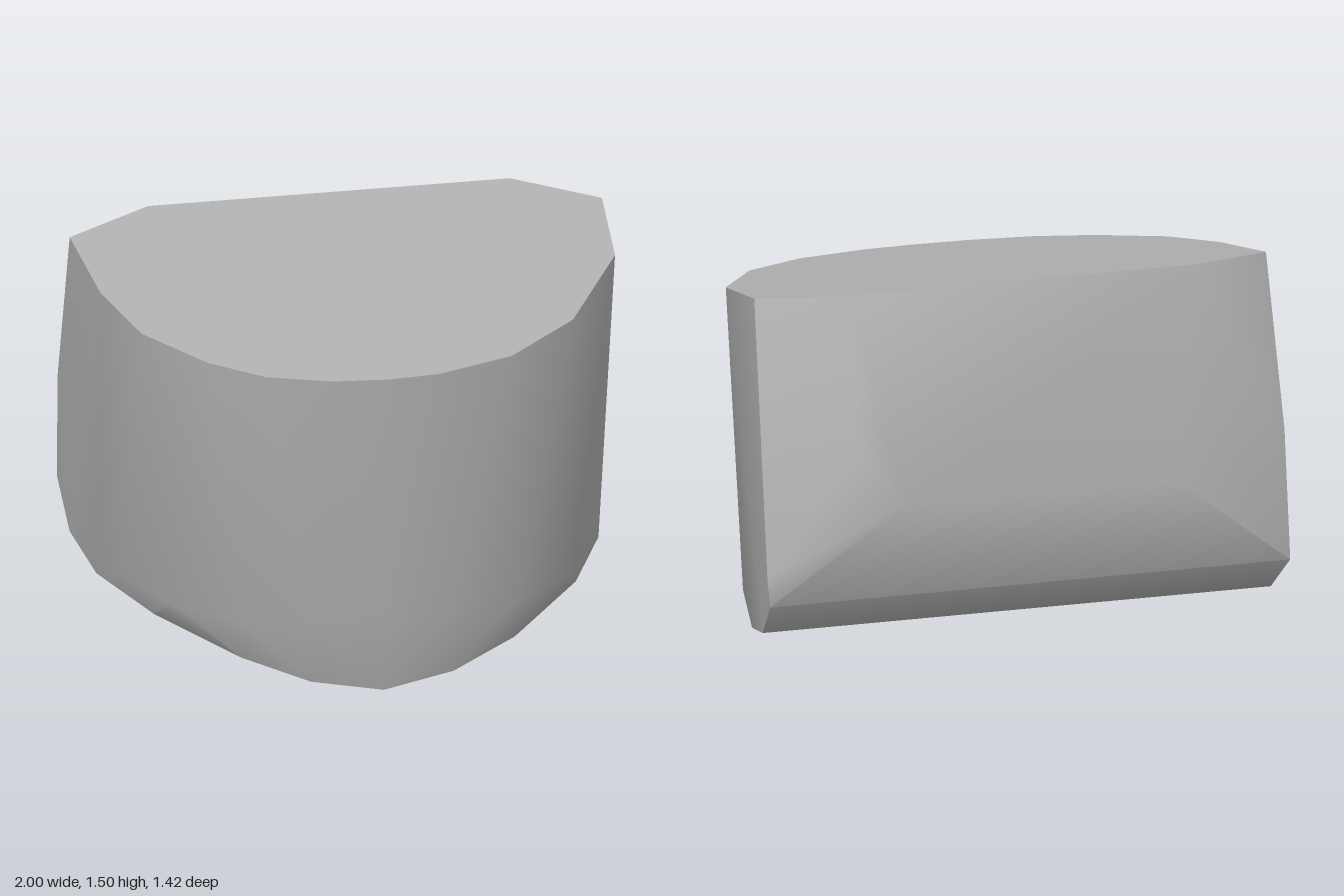
import * as THREE from 'three';
import { ConvexGeometry } from 'three/addons/geometries/ConvexGeometry.js';
import { toCreasedNormals } from 'three/addons/utils/BufferGeometryUtils.js';

export function createModel() {
  const group = new THREE.Group();
  const stone = new THREE.MeshStandardMaterial({ color: 0xb0b0b0 });
  stone.name = 'stoneGrey';
  const points = [];
  const add = (x, y, z) => points.push(new THREE.Vector3(x, y, z));
  const addPair = (x, y, z) => { add(x, y, z); add(-x, y, z); };

  // Flat top: D-shaped outline (x, z) on a plane rising towards the back
  const top = [
    [-0.985, -0.35], [-0.67, -0.51], [0.65, -0.51], [0.955, -0.34],
    [0.935, 0.03], [0.905, 0.08], [0.71, 0.42], [0.45, 0.62], [0.17, 0.7],
    [-0.02, 0.71], [-0.22, 0.695], [-0.45, 0.635], [-0.64, 0.515],
    [-0.84, 0.3], [-0.94, 0.02],
  ];
  for (const [x, z] of top) add(x, 1.31 + (0.71 - z) * 0.152, z);

  // Lower edge of the curved front wall
  add(0, 0.31, 0.6);
  addPair(0.25, 0.3, 0.575);
  addPair(0.5, 0.29, 0.49);
  addPair(0.73, 0.29, 0.29);
  addPair(0.88, 0.29, 0);

  // Sloping underside, lowest at the front
  add(0, 0, 0.53);
  addPair(0.26, 0.04, 0.5);
  addPair(0.5, 0.115, 0.41);
  addPair(0.77, 0.192, 0.15);
  addPair(0.915, 0.205, -0.2);
  addPair(0.965, 0.257, -0.46);

  // Back ridge with its bevelled ends
  addPair(0.51, 0.76, -0.715);
  addPair(0.665, 0.95, -0.66);

  // Rear corners of the side walls
  add(0.998, 0.5, -0.608);
  add(0.985, 0.39, -0.6);
  add(-1, 0.85, -0.51);
  add(-0.98, 0.4, -0.63);

  const geometry = toCreasedNormals(new ConvexGeometry(points), THREE.MathUtils.degToRad(40));
  const body = new THREE.Mesh(geometry, stone);
  body.name = 'stoneBlock';
  group.add(body);
  return group;
}
